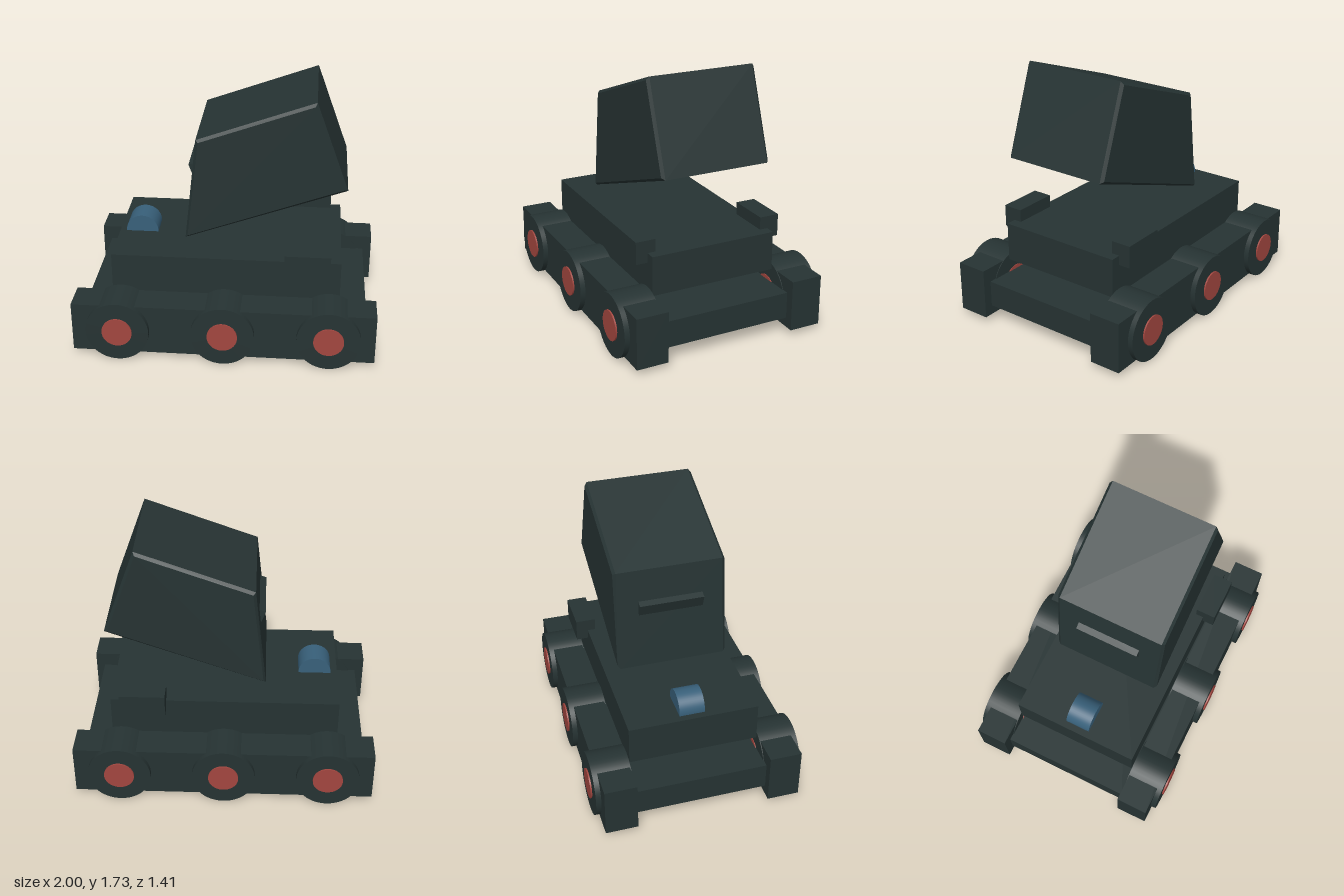
import * as THREE from 'three';

export function createModel() {
  const model = new THREE.Group();
  model.name = 'wheeledRobot';

  const material = (name, color) => {
    const m = new THREE.MeshStandardMaterial({ color });
    m.name = name;
    return m;
  };
  const dark = material('dark slate', 0x263333);
  const red = material('hub red', 0xa2463f);
  const blue = material('lens blue', 0x38607a);

  const add = (name, geometry, mat, x, y, z) => {
    const mesh = new THREE.Mesh(geometry, mat);
    mesh.name = name;
    mesh.position.set(x, y, z);
    model.add(mesh);
    return mesh;
  };
  // Box from its minimum and maximum corners
  const box = (name, [x0, y0, z0], [x1, y1, z1]) =>
    add(name, new THREE.BoxGeometry(x1 - x0, y1 - y0, z1 - z0), dark,
      (x0 + x1) / 2, (y0 + y1) / 2, (z0 + z1) / 2);
  // Cylinder lying along z
  const roller = (name, radius, length, mat, x, y, z) =>
    add(name, new THREE.CylinderGeometry(radius, radius, length, 48).rotateX(Math.PI / 2), mat, x, y, z);

  // Chassis and hull
  box('chassisPlate', [-0.94, 0.105, -0.45], [0.94, 0.285, 0.45]);
  box('hull', [-0.76, 0.38, -0.435], [0.76, 0.645, 0.435]);

  // Running gear and shoulder blocks, mirrored front to back
  for (const s of [-1, 1]) {
    add('sideRail', new THREE.BoxGeometry(2, 0.345, 0.215), dark, 0, 0.2125, s * 0.5525);
    add('shoulderBlock', new THREE.BoxGeometry(0.3, 0.15, 0.135), dark, 0.54, 0.655, s * 0.4475);
    for (const x of [-0.695, 0, 0.695]) {
      roller('wheel', 0.21, 0.255, dark, x, 0.21, s * 0.5675);
      roller('wheelHub', 0.1, 0.27, red, x, 0.21, s * 0.57);
    }
  }

  // Rounded lens half sunk into the hull
  roller('lens', 0.11, 0.17, blue, -0.605, 0.652, 0);

  // Tilted head with chamfered edges
  const bevel = 0.018;
  const profile = new THREE.Shape([
    [-0.27, 0.76], [0.78, 1.14], [0.565, 1.73], [-0.195, 1.455],
  ].map(([x, y]) => new THREE.Vector2(x, y)));
  const headGeometry = new THREE.ExtrudeGeometry(profile, {
    depth: 0.75 - 2 * bevel, bevelEnabled: true, bevelSegments: 1,
    bevelSize: bevel, bevelThickness: bevel, bevelOffset: -bevel,
  });
  add('head', headGeometry, dark, 0, 0, -0.375 + bevel);

  // Slot bar on the sloping face of the head
  const tilt = THREE.MathUtils.degToRad(20);
  const bar = add('slotBar', new THREE.BoxGeometry(0.1, 0.1, 0.435).translate(0.05, -0.05, 0),
    dark, -0.26, 1.22, 0);
  bar.rotation.z = tilt;

  return model;
}
